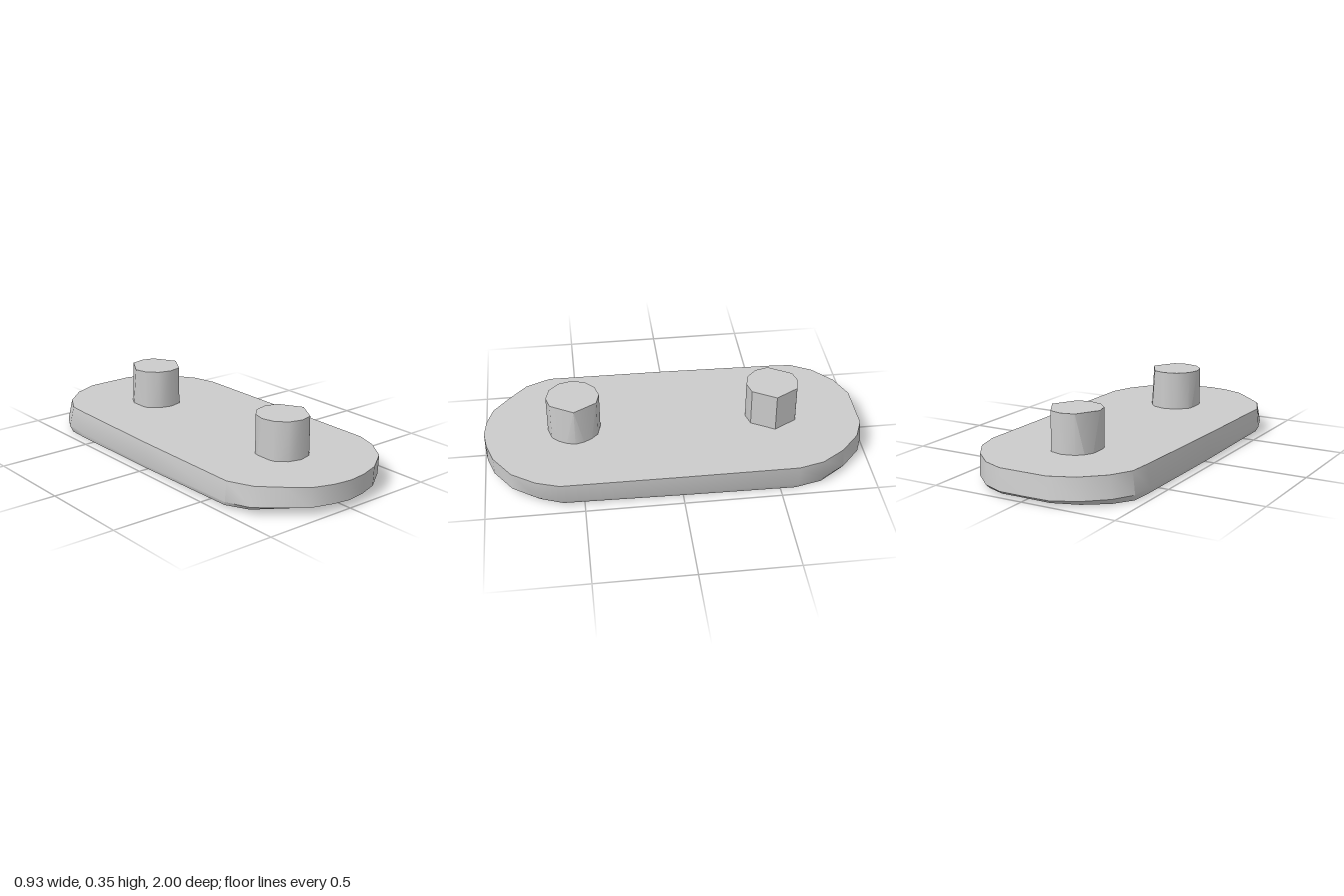
import * as THREE from 'three';
import { toCreasedNormals } from 'three/addons/utils/BufferGeometryUtils.js';
import { ConvexGeometry } from 'three/addons/geometries/ConvexGeometry.js';

const TOP = 0.145;

// Outline of the plate, from the left side round the front to the back (x, z)
const OUTLINE = [
  [0.463, 0], [0.46, 0.62], [0.42, 0.74], [0.34, 0.86], [0.21, 0.95], [0.1, 0.985], [0, 0.998],
  [-0.1, 0.985], [-0.2, 0.95], [-0.3, 0.865], [-0.4, 0.77], [-0.457, 0.64], [-0.452, 0],
  [-0.437, -0.6], [-0.43, -0.72], [-0.37, -0.83], [-0.26, -0.93], [-0.13, -0.985], [0, -0.985],
  [0.13, -0.985], [0.24, -0.94], [0.35, -0.84], [0.43, -0.72], [0.463, -0.59],
];

// Underside: slopes down to the back, and its long edges curl downwards
const underside = (x, z) => 0.0315 + 0.0135 * z - 0.021 * Math.pow(Math.abs(x) / 0.46, 3);

function plateGeometry() {
  // The lower rim sits slightly to the right and further back than the top
  const rim = OUTLINE.map(([x, z]) => [
    x < -0.1 ? Math.max(x - 0.02, -0.467) : x - 0.006 * Math.sign(x),
    z < -0.7 ? z - 0.013 : z,
  ]);
  const rings = [
    OUTLINE.map(() => [0, TOP, 0]),
    OUTLINE.map(([x, z]) => [x, TOP, z]),
    rim.map(([x, z]) => [x, underside(x, z) + 0.022 * (x / 0.46) ** 2 + 0.015 * Math.max(0, -z), z]),
  ];
  for (const s of [0.98, 0.85, 0.7, 0.5, 0.25, 0]) {
    rings.push(rim.map(([x, z]) => [x * s, underside(x * s, z * s), z * s]));
  }
  const positions = [];
  const n = OUTLINE.length;
  for (let i = 0; i < rings.length - 1; i++) {
    const a = rings[i], b = rings[i + 1];
    for (let j = 0; j < n; j++) {
      const k = (j + 1) % n;
      if (i > 0) positions.push(...a[j], ...a[k], ...b[j]);
      if (i < rings.length - 2) positions.push(...a[k], ...b[k], ...b[j]);
    }
  }
  const geometry = new THREE.BufferGeometry();
  geometry.setAttribute('position', new THREE.Float32BufferAttribute(positions, 3));
  return toCreasedNormals(geometry, 0.65);
}

// Twelve-sided peg with some corners cut away at the top or at the base
function pegGeometry(cutTop, cutBase) {
  const points = [];
  for (let deg = 0; deg < 360; deg += 30) {
    const t = THREE.MathUtils.degToRad(deg);
    const x = 0.138 * Math.cos(t), z = 0.138 * Math.sin(t);
    if (!cutTop.includes(deg)) points.push(new THREE.Vector3(x, 0.35, z));
    if (!cutBase.includes(deg)) points.push(new THREE.Vector3(x, 0.037, z));
  }
  return toCreasedNormals(new ConvexGeometry(points), 0.65);
}

export function createModel() {
  const model = new THREE.Group();
  model.name = 'studdedPlate';
  const material = new THREE.MeshStandardMaterial({ color: 0xcccccc });
  const add = (name, geometry, z = 0) => {
    const mesh = new THREE.Mesh(geometry, material);
    mesh.name = name;
    mesh.position.z = z;
    model.add(mesh);
  };

  add('plate', plateGeometry());
  add('frontPeg', pegGeometry([30, 330], [180]), 0.525);
  add('backPeg', pegGeometry([30, 330, 210], [30, 330, 180]), -0.525);
  return model;
}
